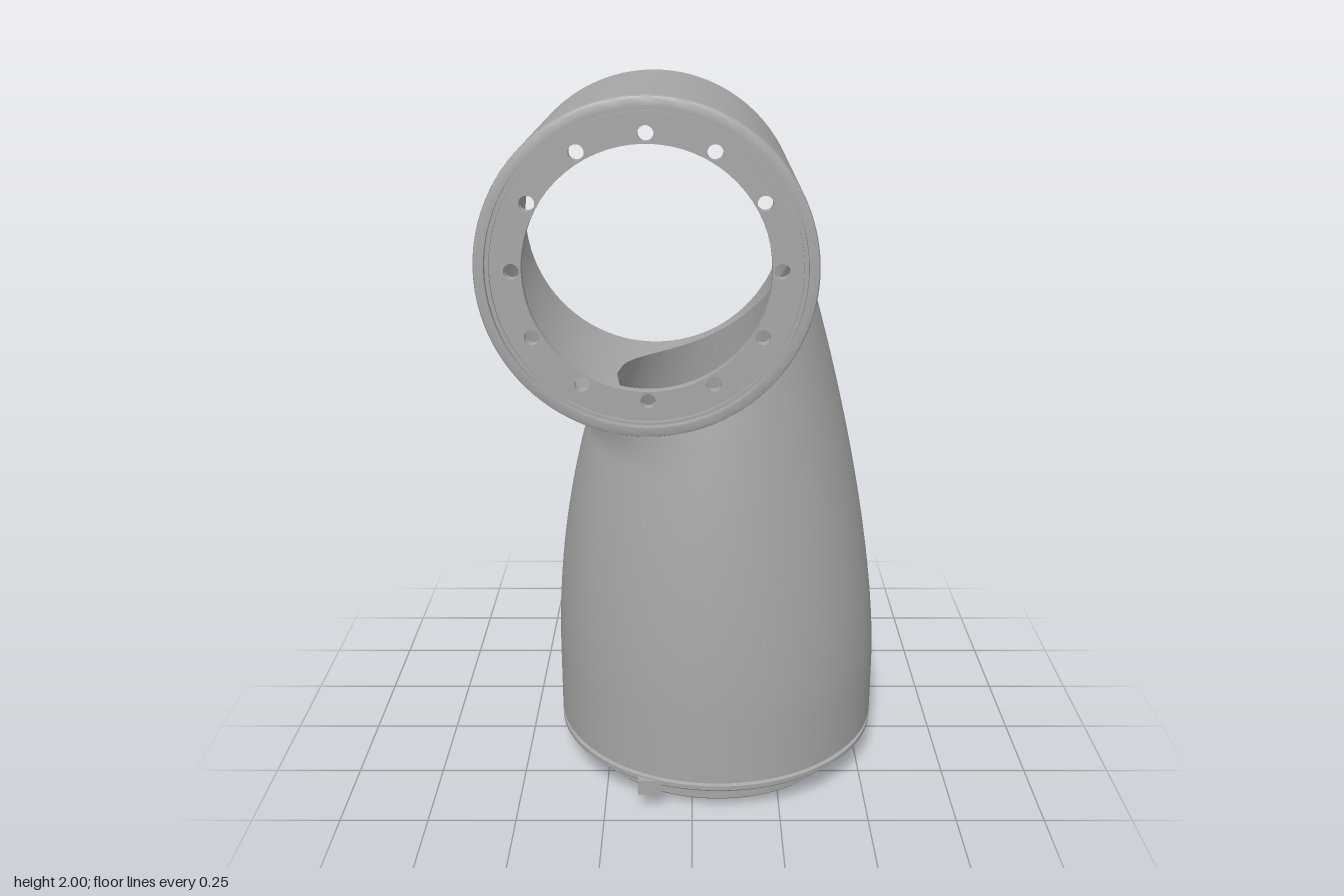
import * as THREE from 'three';
import { toCreasedNormals } from 'three/addons/utils/BufferGeometryUtils.js';

const HEAD = { x: -0.115, y: 1.56, r: 0.44, bore: 0.4, half: 0.4 };
const BASE_X = 0.075;
const WALL = 0.05;

// Closed loops of nu points, lofted over nv steps
function loft(nu, nv, fn) {
  const pos = [], index = [];
  for (let j = 0; j <= nv; j++)
    for (let i = 0; i < nu; i++) pos.push(...fn((i / nu) * Math.PI * 2, j / nv));
  for (let j = 0; j < nv; j++)
    for (let i = 0; i < nu; i++) {
      const a = j * nu + i, b = j * nu + ((i + 1) % nu);
      index.push(a, a + nu, b, b, a + nu, b + nu);
    }
  const g = new THREE.BufferGeometry();
  g.setAttribute('position', new THREE.Float32BufferAttribute(pos, 3));
  g.setIndex(index);
  g.computeVertexNormals();
  return g;
}

// Leaning, tapering elliptical section of the arm at height y
function section(y, inset) {
  const s = Math.max(0, y - 0.3);
  const right = 0.555 - 0.172 * s ** 1.57 - inset;
  const left = -0.405 + 0.183 * s ** 2.1 + inset;
  return { c: (left + right) / 2, rx: (right - left) / 2, rz: 0.48 - 0.109 * s ** 1.65 - inset };
}

function armPoint(a, y, inset) {
  const { c, rx, rz } = section(y, inset);
  return [c + rx * Math.cos(a), y, rz * Math.sin(a)];
}

// Arm shell, trimmed where it meets a head cylinder of radius R
function armShell(inset, R, flare) {
  const dist = (p) => Math.hypot(p[0] - HEAD.x, p[1] - HEAD.y);
  const y0 = 0.12, tops = new Map();
  const top = (a) => {
    if (!tops.has(a)) {
      let lo = y0, hi = HEAD.y;
      for (let k = 0; k < 40; k++) {
        const m = (lo + hi) / 2;
        if (dist(armPoint(a, m, inset)) > R) lo = m; else hi = m;
      }
      tops.set(a, lo);
    }
    return tops.get(a);
  };
  return loft(128, 56, (a, v) => {
    const y = y0 + (top(a) - y0) * (1 - (1 - v) ** 1.6);
    const p = armPoint(a, y, inset);
    const d = dist(p) - R;
    // fillet under the head on the overhanging side
    if (d < 0.12) {
      const push = flare * Math.max(0, -Math.cos(a)) * (1 - d / 0.12) ** 2;
      const dx = p[0] - push - HEAD.x, dy = p[1] - HEAD.y;
      const k = (R + d) / Math.hypot(dx, dy);
      p[0] = HEAD.x + dx * k;
      p[1] = HEAD.y + dy * k;
    }
    return p;
  });
}

// Half of a head cylinder wall, from the arm opening out to one end
function headWall(R, side) {
  return loft(192, 6, (a, v) => {
    const x = HEAD.x + R * Math.cos(a), y = HEAD.y + R * Math.sin(a);
    let w = 0;
    if (y < HEAD.y) {
      const { c, rx, rz } = section(y, WALL);
      w = rz * Math.sqrt(Math.max(0, 1 - ((x - c) / rx) ** 2));
    }
    return [x, y, side * (w + (HEAD.half - w) * v)];
  });
}

function ring(points) {
  const g = new THREE.LatheGeometry(points.map(([r, y]) => new THREE.Vector2(r, y)), 96);
  return toCreasedNormals(g, 0.5);
}

// Flat annulus with a circle of bolt holes
function flange(outer, inner, boltR, count, holeR, depth) {
  const shape = new THREE.Shape().absarc(0, 0, outer, 0, Math.PI * 2);
  shape.holes.push(new THREE.Path().absarc(0, 0, inner, 0, Math.PI * 2, true));
  for (let i = 0; i < count; i++) {
    const a = (i / count) * Math.PI * 2;
    const x = boltR * Math.cos(a), y = boltR * Math.sin(a);
    const hole = new THREE.Path();
    hole.absarc(x, y, holeR, 0, Math.PI * 2, true);
    shape.holes.push(hole);
  }
  return new THREE.ExtrudeGeometry(shape, { depth, bevelEnabled: false, curveSegments: 32 });
}

export function createModel() {
  const model = new THREE.Group();
  model.name = 'jointHousing';
  const grey = new THREE.MeshStandardMaterial({ color: 0xa6a6a6, side: THREE.DoubleSide });
  grey.name = 'castGrey';
  const add = (name, geometry, parent = model) => {
    const m = new THREE.Mesh(geometry, grey);
    m.name = name;
    parent.add(m);
    return m;
  };

  // Hollow arm
  add('armOuter', armShell(0, HEAD.r, 0.065));
  add('armInner', armShell(WALL, HEAD.bore, 0));

  // Horizontal head tube
  for (const [side, end] of [[1, 'Front'], [-1, 'Back']]) {
    add('headOuter' + end, headWall(HEAD.r, side));
    add('headBore' + end, headWall(HEAD.bore, side));
  }

  // Rounded end rims and the bolted front flange
  const head = new THREE.Group();
  head.name = 'headEnds';
  head.position.set(HEAD.x, HEAD.y, 0);
  model.add(head);
  add('frontRim', ring([[0.44, 0.4], [0.437, 0.407], [0.43, 0.41], [0.412, 0.41], [0.412, 0.388]]), head)
    .rotation.x = Math.PI / 2;
  add('backRim', ring([[0.44, 0.4], [0.437, 0.407], [0.43, 0.41], [0.408, 0.41], [0.4, 0.4]]), head)
    .rotation.x = -Math.PI / 2;
  add('headFlange', flange(0.413, 0.32, 0.345, 12, 0.02, 0.03), head).position.z = 0.36;

  // Base collar with groove, spigot and inner bolted flange
  const base = new THREE.Group();
  base.name = 'base';
  base.position.x = BASE_X;
  model.add(base);
  add('collarAndSpigot', ring([
    [0.48, 0.12], [0.48, 0.113], [0.47, 0.11], [0.47, 0.102], [0.48, 0.099], [0.48, 0.086],
    [0.474, 0.08], [0.4, 0.08], [0.4, 0.006], [0.394, 0], [0.36, 0], [0.36, 0.092],
  ]), base);
  const baseFlange = add('baseFlange', flange(0.44, 0.28, 0.318, 18, 0.015, 0.04), base);
  baseFlange.rotation.x = -Math.PI / 2;
  baseFlange.position.y = 0.09;

  // Locating tab
  const tab = add('locatingTab', new THREE.BoxGeometry(0.065, 0.045, 0.05));
  tab.position.set(-0.122, 0.0725, 0.423);

  return model;
}
